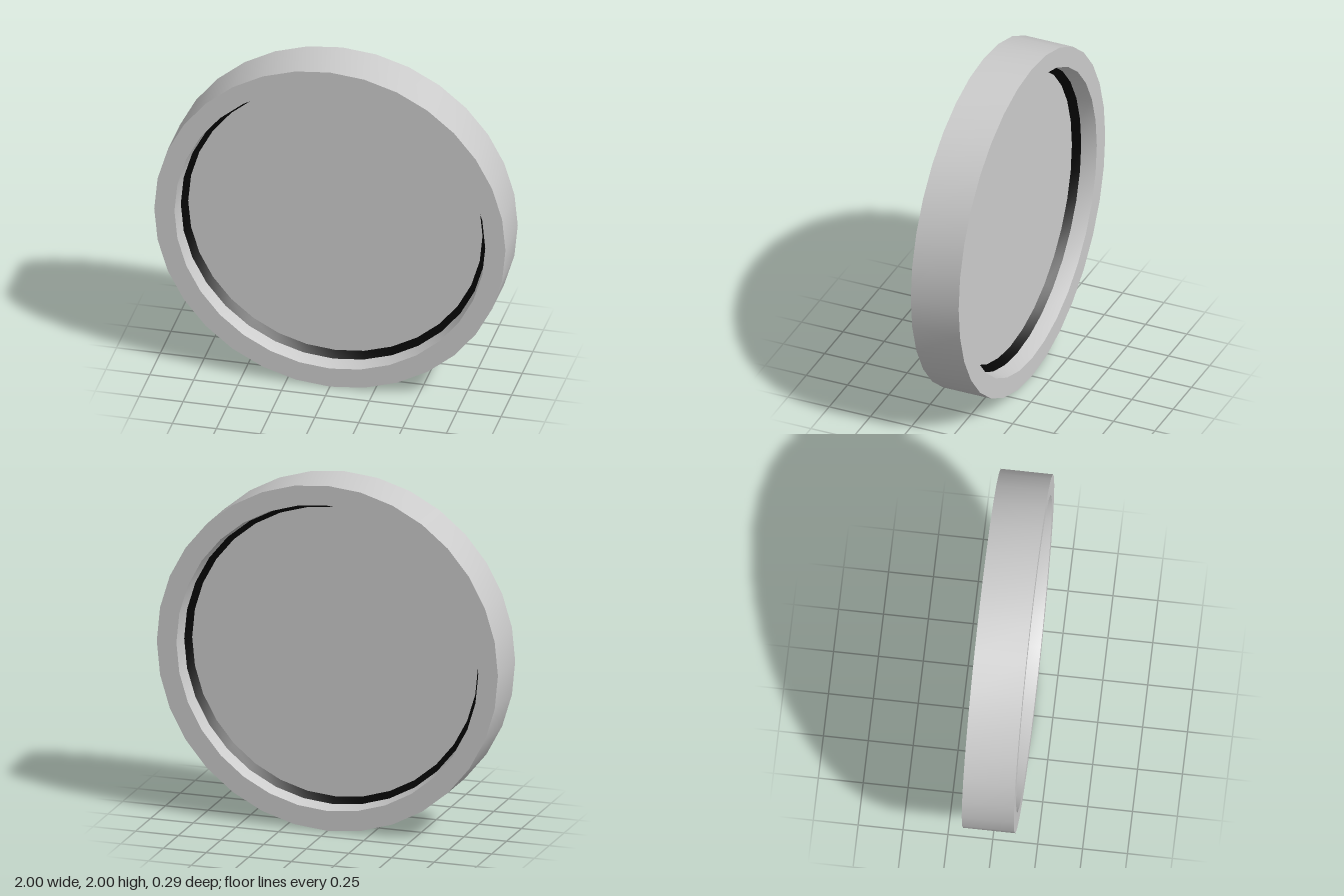
import * as THREE from 'three';
import { toCreasedNormals } from 'three/addons/utils/BufferGeometryUtils.js';

const SIDES = 32;

// Revolve a closed [radius, z] profile around the z axis
function ring(profile) {
  const points = [...profile, profile[0]].map(([r, z]) => new THREE.Vector2(r, z));
  const geometry = new THREE.LatheGeometry(points, SIDES).rotateX(Math.PI / 2);
  return toCreasedNormals(geometry, 0.4);
}

export function createModel() {
  const model = new THREE.Group();
  model.name = 'roundWindow';
  const grey = new THREE.MeshStandardMaterial({ color: 0xcccccc });
  const black = new THREE.MeshStandardMaterial({ color: 0x050505 });

  function add(name, geometry, material) {
    const mesh = new THREE.Mesh(geometry, material);
    mesh.name = name;
    mesh.position.y = 1;
    model.add(mesh);
  }

  // Outer frame with a slightly tapered bore on both faces
  add('frame', ring([
    [1, -0.145], [1, 0.145], [0.885, 0.145],
    [0.87, 0.06], [0.87, -0.06], [0.885, -0.145],
  ]), grey);

  // Dark seal sloping down to the pane
  add('seal', ring([
    [0.872, -0.06], [0.872, 0.06], [0.838, 0.015], [0.838, -0.015],
  ]), black);

  // Thin round pane in the middle
  add('pane', toCreasedNormals(
    new THREE.CylinderGeometry(0.84, 0.84, 0.03, SIDES).rotateX(Math.PI / 2), 0.4), grey);

  return model;
}
